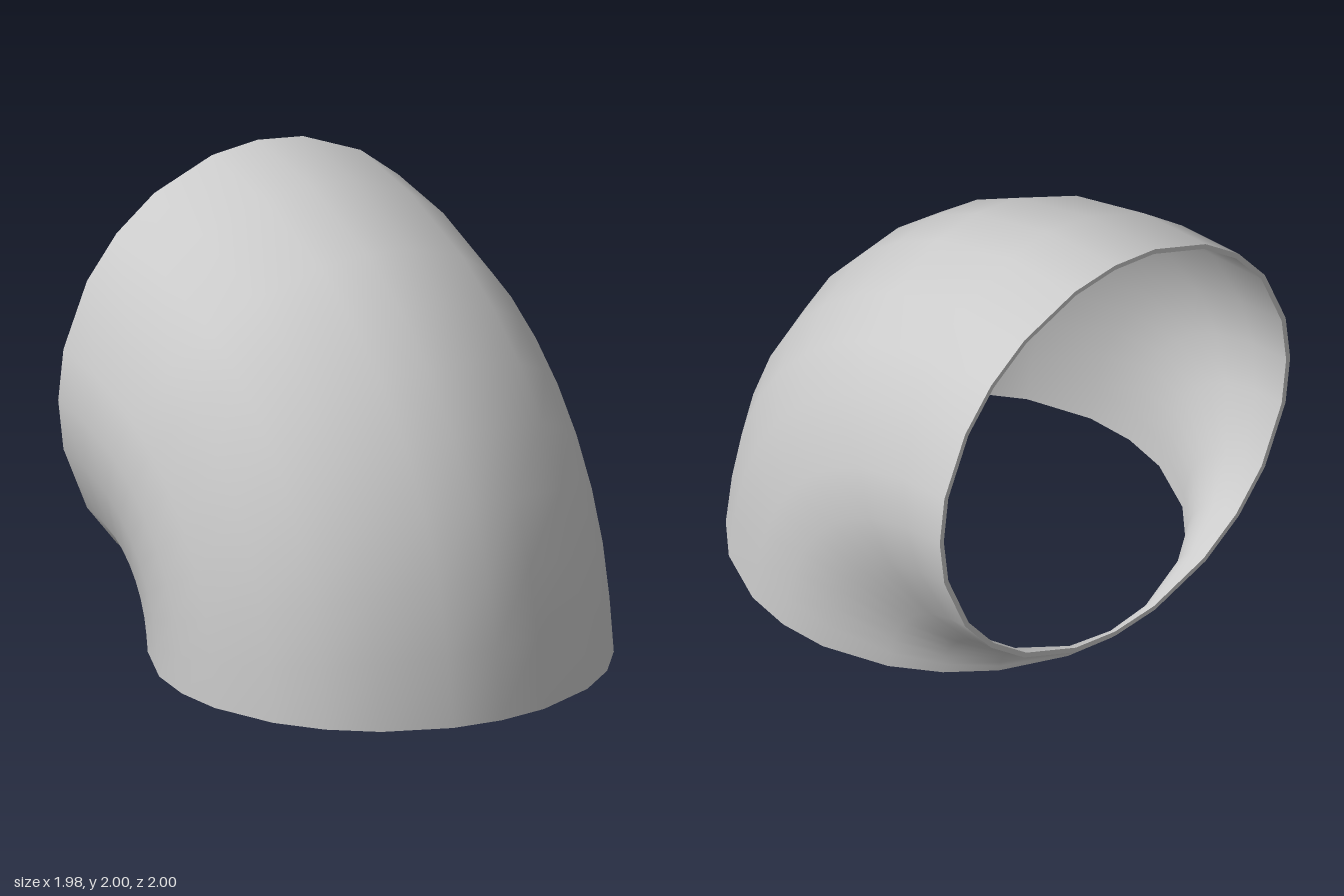
import * as THREE from 'three';

// Bend pivots on the x axis line at y = 0, z = -1
const BEND = 1.01, OUTER = 0.99, INNER = 0.967;
const rad = THREE.MathUtils.degToRad;

// Angles around the tube: six uneven steps in each quadrant
const around = [];
for (let q = 0; q < 4; q++)
  for (const a of [0, 13.2, 31.2, 45, 58.8, 76.8]) around.push(rad(q * 90 + a));

// Angles along the bend
const along = [0, 9, 18, 27, 36, 45, 54, 63, 77.4, 90];

// One cross-section loop of the elbow
function loop(deg, r) {
  const t = rad(deg);
  const s = deg === 0 || deg === 90 ? 1 : 0.989;
  return around.map((p) => {
    const d = s * (BEND + r * Math.cos(p));
    return [r * Math.sin(p), d * Math.sin(t), -1 + d * Math.cos(t)];
  });
}

// Smooth closed skin through a sequence of loops
function skin(name, loops, material) {
  const n = around.length, index = [];
  for (let j = 0; j < loops.length - 1; j++)
    for (let i = 0; i < n; i++) {
      const k = (i + 1) % n;
      const a = j * n + i, b = j * n + k, c = b + n, d = a + n;
      index.push(a, b, c, a, c, d);
    }
  const g = new THREE.BufferGeometry();
  g.setAttribute('position', new THREE.Float32BufferAttribute(loops.flat(2), 3));
  g.setIndex(index);
  g.computeVertexNormals();
  const mesh = new THREE.Mesh(g, material);
  mesh.name = name;
  return mesh;
}

export function createModel() {
  const material = new THREE.MeshStandardMaterial({ color: 0xcccccc });
  const group = new THREE.Group();
  group.name = 'pipeElbow';

  const outer = along.map((a) => loop(a, OUTER));
  const inner = along.map((a) => loop(a, INNER));
  const last = along.length - 1;

  // Pipe walls
  group.add(skin('outerWall', outer, material));
  group.add(skin('innerWall', [...inner].reverse(), material));
  // Flat rims closing the wall thickness at both openings
  group.add(skin('bottomRim', [inner[0], outer[0]], material));
  group.add(skin('backRim', [outer[last], inner[last]], material));
  return group;
}
